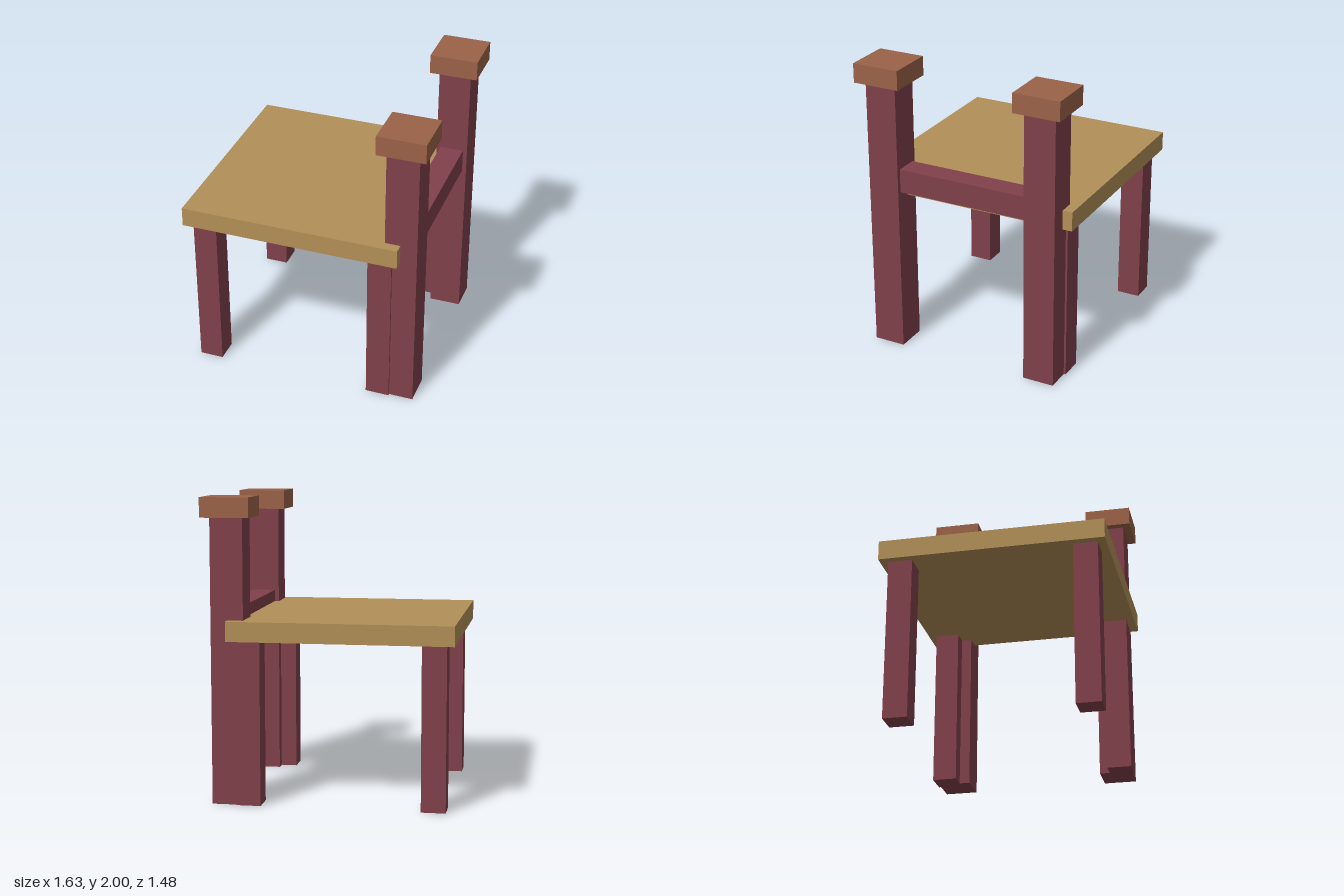
import * as THREE from 'three';

const paint = (name, color) => {
  const material = new THREE.MeshStandardMaterial({ color });
  material.name = name;
  return material;
};

export function createModel() {
  const group = new THREE.Group();
  group.name = 'chair';
  const plum = paint('plum wood', 0x80404a);
  const tan = paint('tan wood', 0xb28f57);
  const brown = paint('brown wood', 0x9b6248);

  // Box given by its extents along x, y and z
  const block = (name, material, [x0, x1], [y0, y1], [z0, z1]) => {
    const mesh = new THREE.Mesh(new THREE.BoxGeometry(x1 - x0, y1 - y0, z1 - z0), material);
    mesh.position.set((x0 + x1) / 2, (y0 + y1) / 2, (z0 + z1) / 2);
    mesh.name = name;
    group.add(mesh);
  };

  // Seat slab and the rail between the back posts
  block('seat', tan, [-0.818, 0.652], [1.08, 1.21], [-0.739, 0.739]);
  block('backRail', plum, [0.577, 0.735], [1.13, 1.29], [-0.46, 0.46]);

  // Mirrored legs, back posts and post caps
  for (const side of [-1, 1]) {
    const span = (a, b) => (side > 0 ? [a, b] : [-b, -a]);
    const end = side > 0 ? 'Left' : 'Right';
    block('frontLeg' + end, plum, [-0.766, -0.606], [0, 1.08], span(0.526, 0.686));
    block('rearLeg' + end, plum, [0.44, 0.6], [0, 1.08], span(0.526, 0.686));
    block('backPost' + end, plum, [0.549, 0.763], [0, 1.87], span(0.457, 0.672));
    block('postCap' + end, brown, [0.496, 0.816], [1.87, 2], span(0.404, 0.725));
  }
  return group;
}
